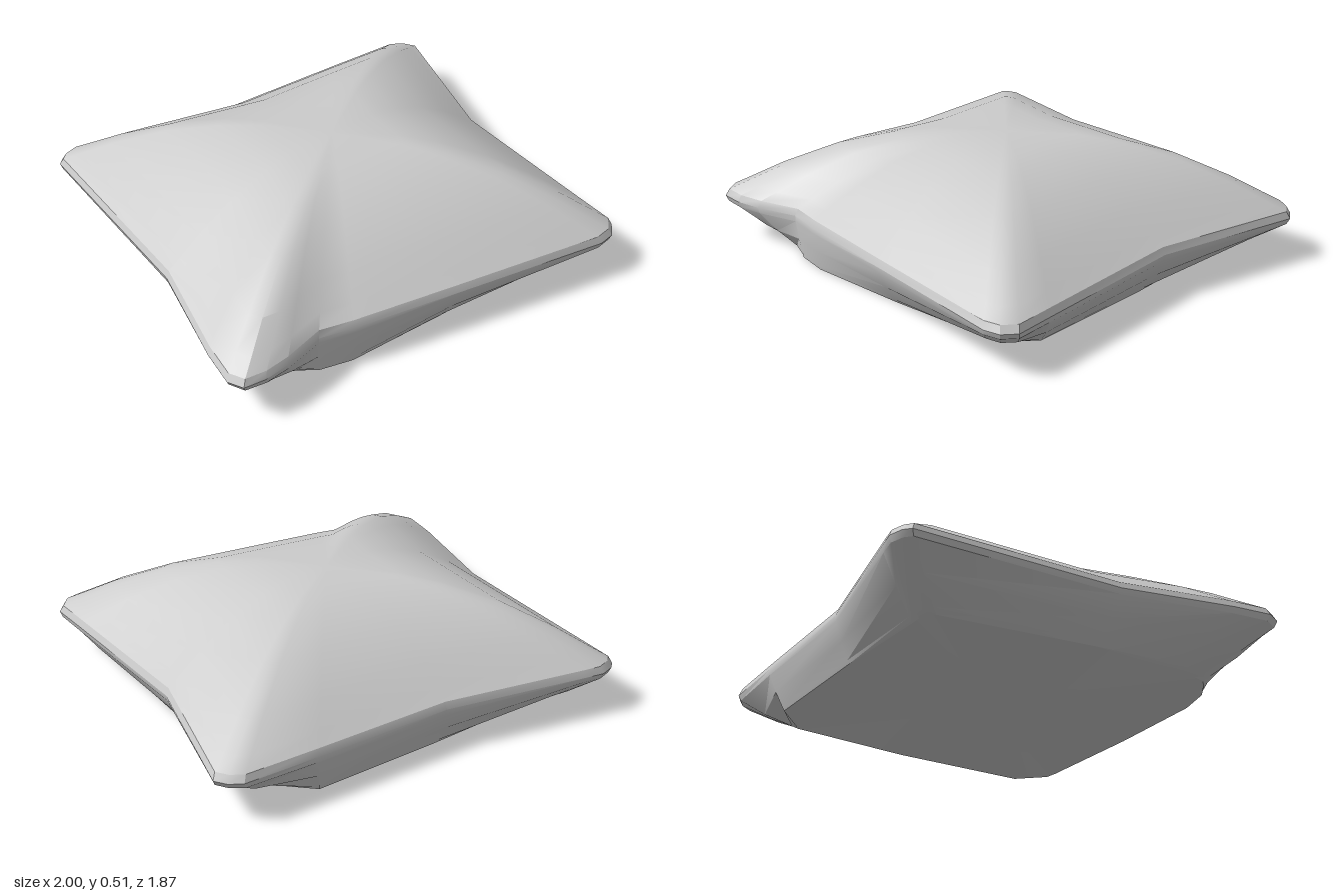
import * as THREE from 'three';
import { toCreasedNormals } from 'three/addons/utils/BufferGeometryUtils.js';

// Seam of the cushion as seen from above: four drawn-out corners, pinched sides
const seam = [
  [-0.77, -0.9], [-0.74, -0.925], [-0.68, -0.94], [-0.6, -0.92], [0, -0.76], [0.6, -0.72],
  [0.92, -0.695], [0.97, -0.66], [1, -0.61], [0.8, 0], [0.775, 0.7], [0.77, 0.87],
  [0.72, 0.92], [0.65, 0.93], [0, 0.79], [-0.45, 0.69], [-0.59, 0.65], [-0.77, 0.69],
  [-0.88, 0.7], [-0.97, 0.685], [-1, 0.62], [-0.97, 0.46], [-0.84, 0],
];

// Domed upper half: [share of the seam radius, height]
const dome = [
  [0, 0.515], [0.25, 0.513], [0.4, 0.488], [0.6, 0.428], [0.8, 0.33], [0.92, 0.258], [0.985, 0.22], [1, 0.19],
];

// Flat base: a square with clipped corners
const baseScale = (x, z) =>
  Math.min(0.97, 0.69 / Math.abs(x || 1e-6), 0.69 / Math.abs(z || 1e-6), 1.22 / (Math.abs(x) + Math.abs(z)));

function createCushionGeometry() {
  const rings = dome.map(([s, y]) => seam.map(([x, z]) => [x * s, y, z * s]));
  // Underside, curving from the seam in to the base: [share of the way, height]
  for (const [t, y] of [[0.04, 0.165], [0.45, 0.085], [0.9, 0.015], [1, 0]]) {
    rings.push(seam.map(([x, z]) => {
      const s = 1 + (baseScale(x, z) - 1) * t;
      return [x * s, y, z * s];
    }));
  }
  rings.push(seam.map(() => [0, 0, 0]));

  const positions = [];
  const n = seam.length;
  for (let r = 0; r < rings.length - 1; r++) {
    for (let i = 0; i < n; i++) {
      const j = (i + 1) % n;
      const a = rings[r][i], b = rings[r][j], c = rings[r + 1][j], d = rings[r + 1][i];
      if (r > 0) positions.push(...a, ...b, ...c);
      if (r === 0 || r < rings.length - 2) positions.push(...a, ...c, ...d);
    }
  }
  const geometry = new THREE.BufferGeometry();
  geometry.setAttribute('position', new THREE.Float32BufferAttribute(positions, 3));
  return toCreasedNormals(geometry, 0.5);
}

export function createModel() {
  const group = new THREE.Group();
  group.name = 'pillow';
  const cushion = new THREE.Mesh(
    createCushionGeometry(),
    new THREE.MeshStandardMaterial({ color: 0xcccccc }),
  );
  cushion.name = 'cushion';
  group.add(cushion);
  return group;
}
